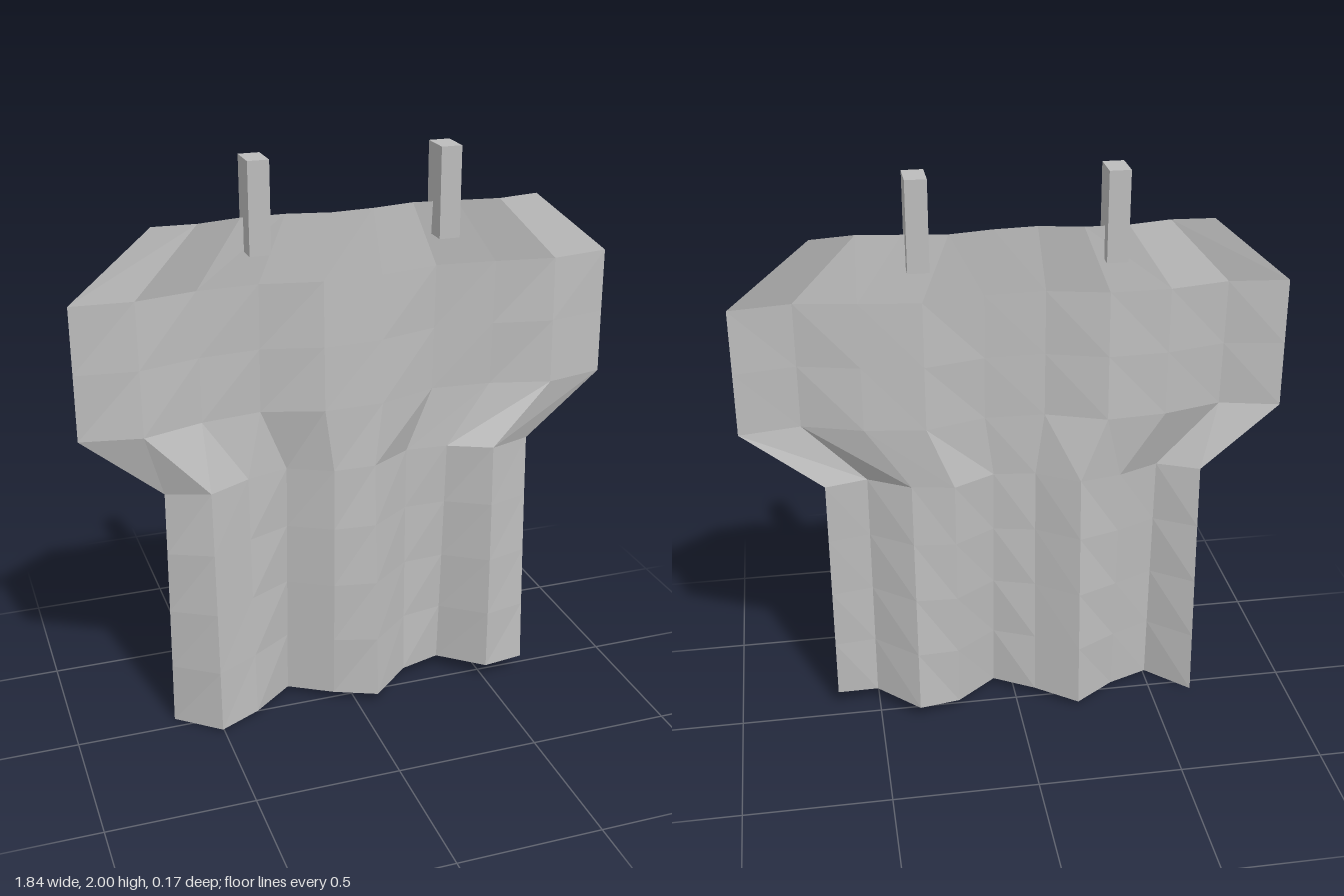
import * as THREE from 'three';

const COLS = 9, ROWS = 8, TOP = 1.81, HALF = 0.65, FLARE = 0.92 / 0.65;

export function createModel() {
  const model = new THREE.Group();
  const grey = new THREE.MeshStandardMaterial({ color: 0xbcbcbc, side: THREE.DoubleSide, flatShading: true });
  grey.name = 'cloth grey';

  // Hanging cloth: a grid that flares in its upper half, with folds deepening towards a slanted hem
  const sheet = new THREE.PlaneGeometry(2 * HALF, TOP, COLS, ROWS);
  const pos = sheet.attributes.position;
  for (let i = 0; i < pos.count; i++) {
    const x = pos.getX(i);
    const row = ROWS - Math.floor(i / (COLS + 1)); // 0 at the hem, 8 at the top
    const hem = 0.03 + 0.0463 * x;
    const y = hem + (TOP - hem) * row / ROWS;
    const depth = 0.09 - 0.07 * y / TOP;
    const z = depth * Math.cos(12 * x - 0.6 + 0.53 * y);
    const wide = row >= 5 && row <= 7 ? FLARE : 1;
    pos.setXYZ(i, x * wide, y, z);
  }
  sheet.computeVertexNormals();
  const cloth = new THREE.Mesh(sheet, grey);
  cloth.name = 'cloth';
  model.add(cloth);

  // Two pegs gripping the top edge
  for (const side of [-1, 1]) {
    const peg = new THREE.Mesh(new THREE.BoxGeometry(0.07, 0.3, 0.11), grey);
    peg.name = side > 0 ? 'leftPeg' : 'rightPeg';
    peg.position.set(side * 0.318, 1.85, -0.002);
    model.add(peg);
  }
  return model;
}
